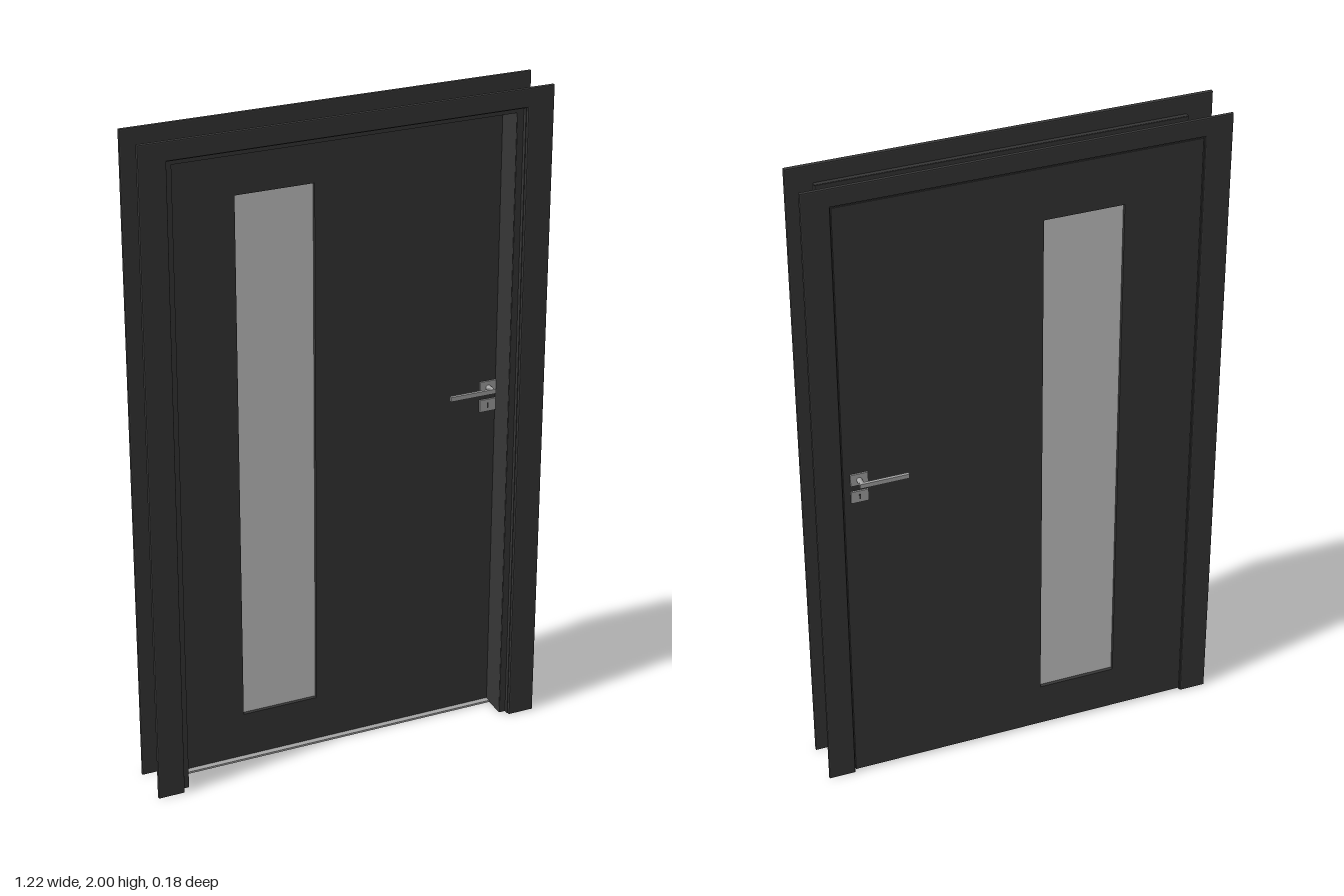
import * as THREE from 'three';

const mat = (name, color) => {
  const m = new THREE.MeshStandardMaterial({ color });
  m.name = name;
  return m;
};

export function createModel() {
  const door = new THREE.Group();
  door.name = 'door';
  const dark = mat('anthracite paint', 0x363636);
  const glass = mat('pale glass', 0xcacaca);
  const metal = mat('brushed metal', 0xa6a6a6);

  const add = (parent, name, geometry, material, x = 0, y = 0, z = 0) => {
    const mesh = new THREE.Mesh(geometry, material);
    mesh.name = name;
    mesh.position.set(x, y, z);
    parent.add(mesh);
    return mesh;
  };
  // box given by its limits on each axis
  const block = (parent, name, material, [x0, x1], [y0, y1], [z0, z1]) =>
    add(parent, name, new THREE.BoxGeometry(x1 - x0, y1 - y0, z1 - z0), material,
      (x0 + x1) / 2, (y0 + y1) / 2, (z0 + z1) / 2);

  // three-sided surround, open at the floor
  const surround = (name, outX, outY, inX, inY, z0, z1, bevel = 0) => {
    const shape = new THREE.Shape([
      [-outX, 0], [-inX, 0], [-inX, inY], [inX, inY], [inX, 0], [outX, 0], [outX, outY], [-outX, outY],
    ].map(([x, y]) => new THREE.Vector2(x, y)));
    const geometry = new THREE.ExtrudeGeometry(shape, {
      depth: z1 - z0 - 2 * bevel, bevelEnabled: bevel > 0, bevelThickness: bevel,
      bevelSize: bevel, bevelOffset: -bevel, bevelSegments: 2,
    });
    add(door, name, geometry, dark, 0, 0, z0 + bevel);
  };

  // folded frame: trims, their returns and ledges, and the lining between
  surround('frontTrim', 0.61, 2, 0.53, 1.945, 0.076, 0.09, 0.003);
  surround('frontReturn', 0.533, 1.946, 0.528, 1.941, 0.064, 0.08);
  surround('frontLedge', 0.532, 1.945, 0.509, 1.926, 0.062, 0.067);
  surround('lining', 0.513, 1.93, 0.508, 1.925, -0.035, 0.065);
  surround('backLedge', 0.532, 1.945, 0.509, 1.926, -0.037, -0.032);
  surround('backReturn', 0.533, 1.946, 0.528, 1.941, -0.055, -0.034);
  surround('backTrim', 0.61, 2, 0.53, 1.945, -0.06, -0.048, 0.003);

  // hinge-side stiffeners and hinges
  block(door, 'hingeChannelOuter', dark, [0.533, 0.56], [0, 1.945], [-0.05, -0.035]);
  block(door, 'hingeChannelInner', dark, [0.512, 0.54], [0, 1.93], [-0.035, -0.008]);
  for (const y of [0.19, 0.968, 1.715]) {
    const hinge = new THREE.Group();
    hinge.name = 'hinge';
    hinge.position.set(0.57, y, -0.04);
    add(hinge, 'hingeBarrel', new THREE.CylinderGeometry(0.008, 0.008, 0.084, 16), metal);
    block(hinge, 'hingePlate', metal, [-0.011, 0], [-0.035, 0.035], [-0.003, 0.003]);
    door.add(hinge);
  }

  // rebated leaf with a tall window opening
  const win = { x0: -0.3, x1: -0.065, y0: 0.15, y1: 1.78 };
  const rect = (T, x0, x1, y0, y1) => new T([[x0, y0], [x1, y0], [x1, y1], [x0, y1]]
    .map(([x, y]) => new THREE.Vector2(x, y)));
  const panel = (name, halfW, top, z0, z1) => {
    const shape = rect(THREE.Shape, -halfW, halfW, 0.008, top);
    shape.holes.push(rect(THREE.Path, win.x0, win.x1, win.y0, win.y1));
    add(door, name, new THREE.ExtrudeGeometry(shape, { depth: z1 - z0, bevelEnabled: false }), dark, 0, 0, z0);
  };
  panel('leafFront', 0.506, 1.923, -0.038, -0.015);
  panel('leafBack', 0.526, 1.939, -0.055, -0.038);
  block(door, 'windowPane', glass, [win.x0, win.x1], [win.y0, win.y1], [-0.044, -0.026]);
  block(door, 'threshold', metal, [-0.507, 0.507], [0, 0.006], [-0.045, 0]);

  // lever handle and key plate on both faces; local +z points away from the leaf
  for (const [name, side, z] of [['frontHandle', 1, -0.015], ['backHandle', -1, -0.055]]) {
    const handle = new THREE.Group();
    handle.name = name;
    const out = (a, b) => (side > 0 ? [a, b] : [-b, -a]);
    block(handle, 'rose', metal, [0.455, 0.506], [1.05, 1.088], out(0, 0.005));
    block(handle, 'keyPlate', metal, [0.455, 0.506], [0.992, 1.03], out(0, 0.005));
    block(handle, 'keySlot', dark, [0.478, 0.483], [1.003, 1.019], out(0.005, 0.006));
    const stem = add(handle, 'stem', new THREE.CylinderGeometry(0.008, 0.008, 0.034, 16), metal,
      0.481, 1.068, side * 0.02);
    stem.rotation.x = Math.PI / 2;
    block(handle, 'lever', metal, [0.345, 0.489], [1.061, 1.075], out(0.029, 0.038));
    handle.position.z = z;
    door.add(handle);
  }
  return door;
}
